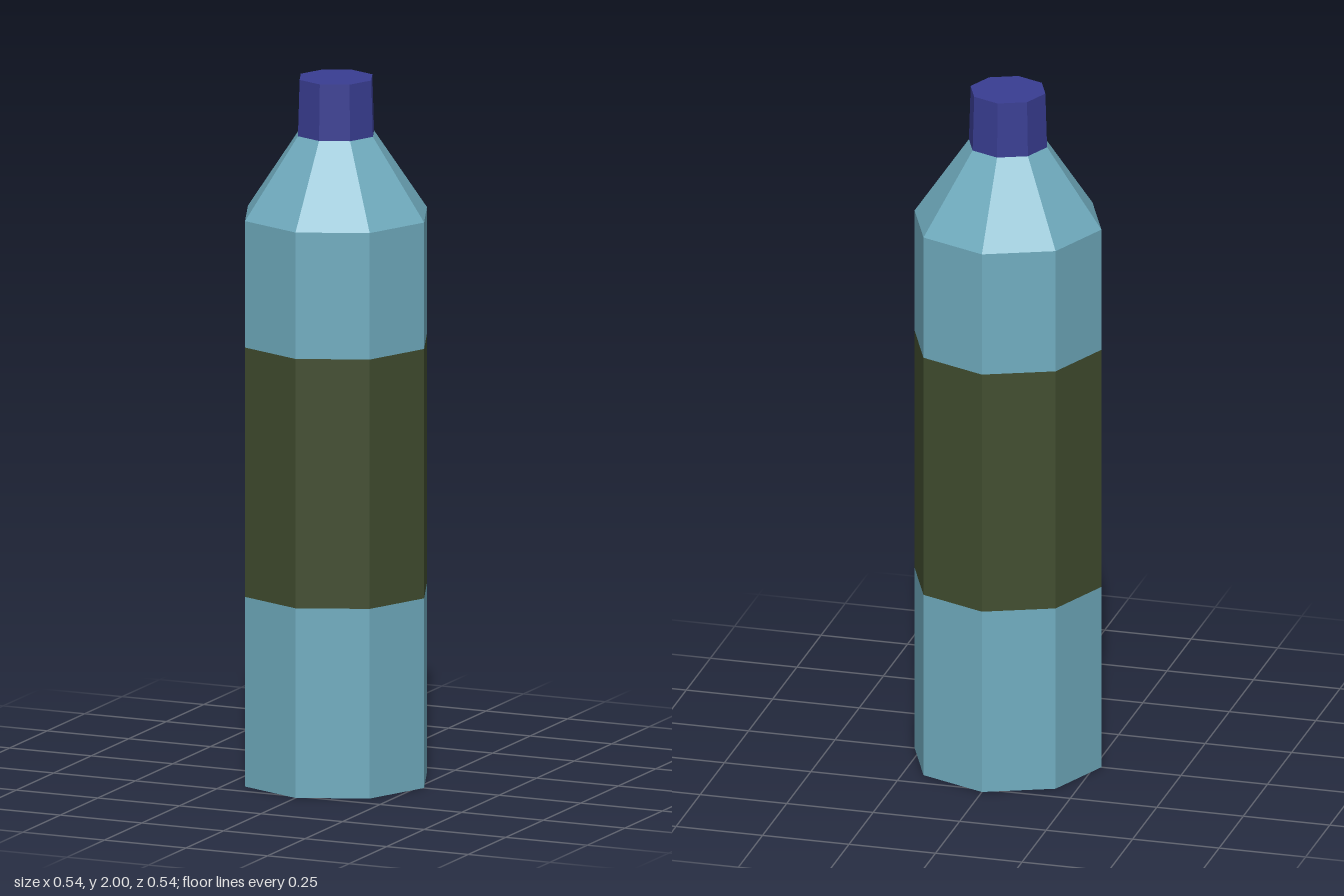
import * as THREE from 'three';

const SIDES = 8;

function flat(name, color) {
  const m = new THREE.MeshStandardMaterial({ color, flatShading: true });
  m.name = name;
  return m;
}

export function createModel() {
  const group = new THREE.Group();
  group.name = 'bottle';

  const glass = flat('pale blue', 0x70acbf);
  const label = flat('olive green', 0x414d2f);
  const cap = flat('deep blue', 0x393d92);

  // Octagonal section between two heights, open unless it ends the bottle
  function section(name, y0, y1, r0, r1, material, open = true) {
    const geo = new THREE.CylinderGeometry(r1, r0, y1 - y0, SIDES, 1, open);
    const mesh = new THREE.Mesh(geo, material);
    mesh.name = name;
    mesh.position.y = (y0 + y1) / 2;
    group.add(mesh);
  }

  const R = 0.27;
  section('lowerBody', 0, 0.54, R, R, glass);
  section('labelBand', 0.54, 1.25, R, R, label);
  section('upperBody', 1.25, 1.61, R, R, glass);
  section('shoulder', 1.61, 1.84, R, 0.113, glass);
  section('cap', 1.84, 2, 0.113, 0.108, cap, false);

  // Flat base
  const base = new THREE.Mesh(new THREE.CircleGeometry(R, SIDES), glass);
  base.name = 'base';
  base.rotation.x = Math.PI / 2;
  group.add(base);

  return group;
}
